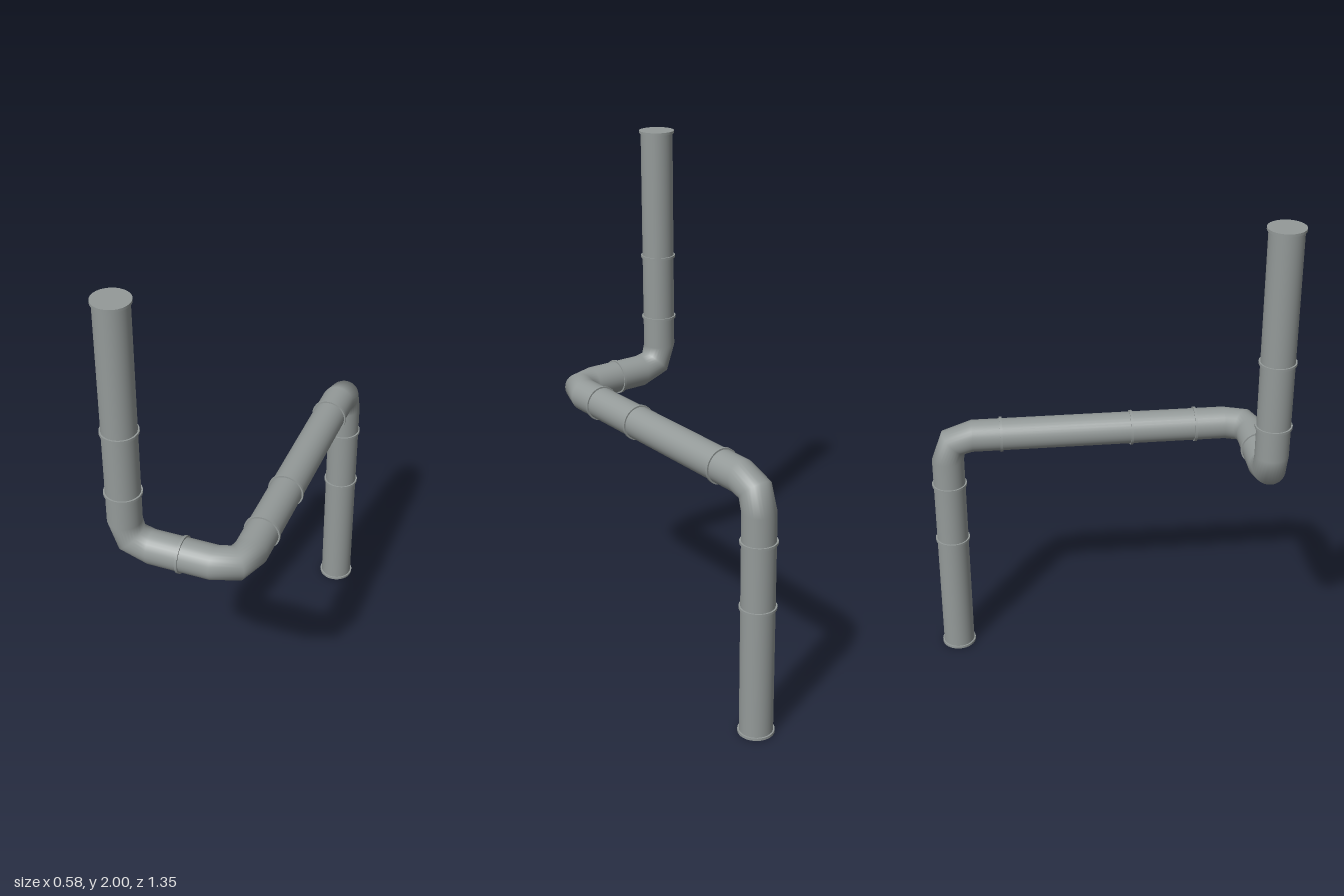
import * as THREE from 'three';

const RADIUS = 0.064, COLLAR_RADIUS = 0.07, COLLAR_WIDTH = 0.01, BEND = 0.1, SIDES = 32;

export function createModel() {
  const model = new THREE.Group();
  model.name = 'pipeRun';
  const metal = new THREE.MeshStandardMaterial({ color: 0x949a99 });
  metal.name = 'greyMetal';

  const add = (geometry, name) => {
    const mesh = new THREE.Mesh(geometry, metal);
    mesh.name = name;
    model.add(mesh);
    return mesh;
  };

  // Cylinder laid from a to b
  const rod = (a, b, radius, name, open) => {
    const dir = b.clone().sub(a);
    const mesh = add(new THREE.CylinderGeometry(radius, radius, dir.length(), SIDES, 1, open), name);
    mesh.position.copy(a).add(b).multiplyScalar(0.5);
    mesh.quaternion.setFromUnitVectors(new THREE.Vector3(0, 1, 0), dir.normalize());
  };

  // Centre line, from the top opening to the bottom one
  const path = [
    [-0.22, 2, 0.604], [-0.22, 1, 0.604], [0.22, 1, 0.604], [0.22, 1, -0.604], [0.22, 0, -0.604],
  ].map((p) => new THREE.Vector3(...p));

  // Collar centres on each run, as distances from its start
  const collars = [[0.005, 0.516, 0.777], [0.22], [0.217, 0.474, 0.993], [0.215, 0.475, 0.995]];

  for (let i = 0; i < path.length - 1; i++) {
    const start = path[i], end = path[i + 1];
    const dir = end.clone().sub(start).normalize();
    const along = (d) => start.clone().addScaledVector(dir, d);

    // Straight pipe, shortened where an elbow takes over
    const from = i === 0 ? 0.002 : BEND;
    const to = start.distanceTo(end) - (i === path.length - 2 ? 0.002 : BEND);
    rod(along(from), along(to), RADIUS, 'straightPipe', true);

    // Joint collars; the outermost two close the pipe ends
    for (const d of collars[i]) {
      rod(along(d - COLLAR_WIDTH / 2), along(d + COLLAR_WIDTH / 2), COLLAR_RADIUS, 'collar', false);
    }

    // Two-piece elbow at the start of every run but the first
    if (i > 0) {
      const back = path[i - 1].clone().sub(start).normalize();
      const curve = new THREE.QuadraticBezierCurve3(
        start.clone().addScaledVector(back, BEND), start.clone(), along(BEND));
      add(new THREE.TubeGeometry(curve, 2, RADIUS, SIDES, false), 'elbow');
    }
  }
  return model;
}
